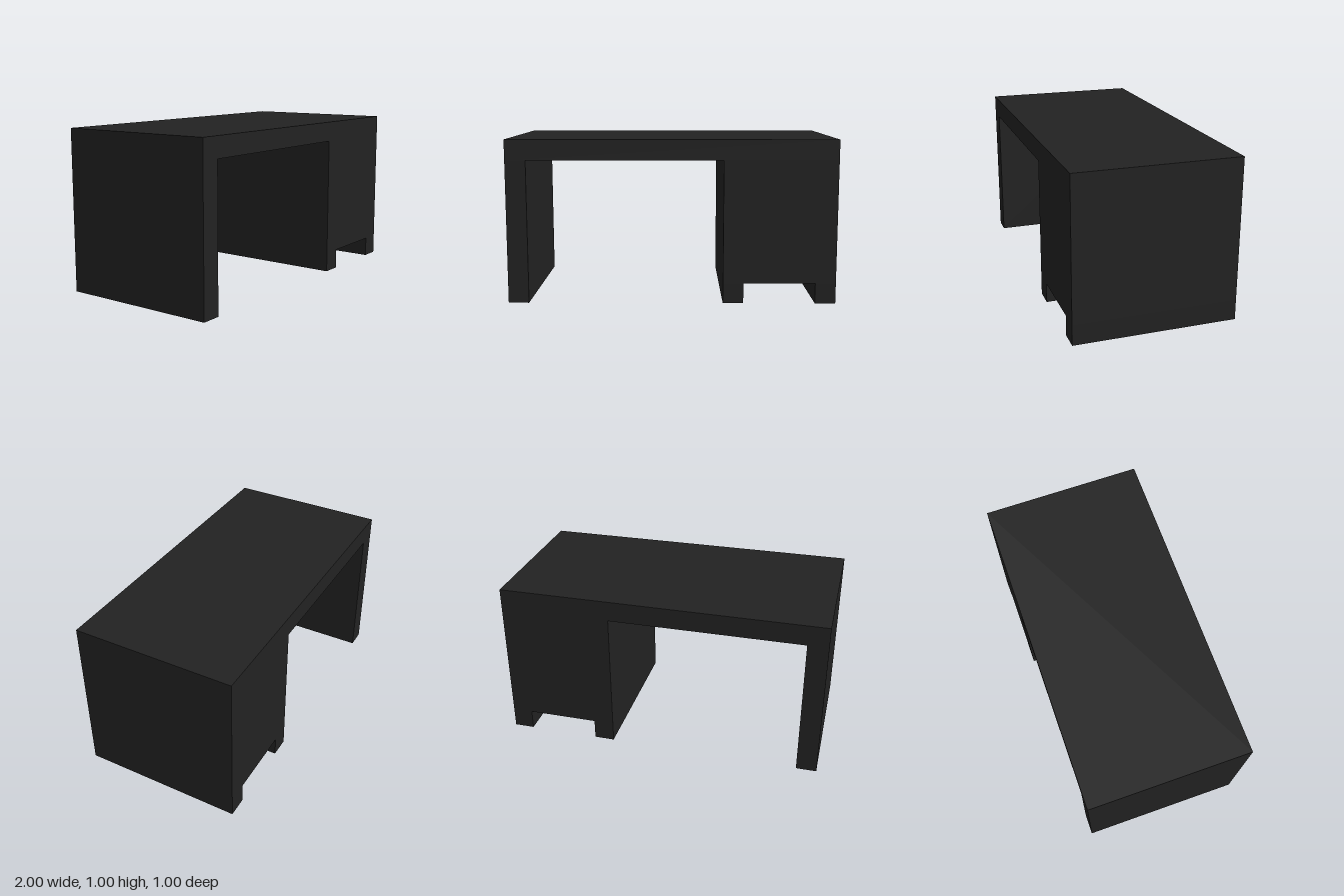
import * as THREE from 'three';

// Desk: slab top, panel leg on one side, drawer cabinet on two runners on the other.
export function createModel() {
  const group = new THREE.Group();
  group.name = 'desk';
  const charcoal = new THREE.MeshStandardMaterial({ color: 0x222222 });
  charcoal.name = 'charcoal';

  const T = 0.125;      // panel thickness
  const DEPTH = 1;
  const HEIGHT = 1;
  const INNER = 0.3125; // inner side of the cabinet

  // Full-depth block spanning x0..x1 and y0..y1
  function block(name, x0, x1, y0, y1) {
    const mesh = new THREE.Mesh(new THREE.BoxGeometry(x1 - x0, y1 - y0, DEPTH), charcoal);
    mesh.position.set((x0 + x1) / 2, (y0 + y1) / 2, 0);
    mesh.name = name;
    group.add(mesh);
  }

  block('deskTop', -1, 1, HEIGHT - T, HEIGHT);
  block('rightLegPanel', -1, -1 + T, 0, HEIGHT - T);
  block('cabinet', INNER, 1, T, HEIGHT - T);
  block('innerCabinetFoot', INNER, INNER + T, 0, T);
  block('outerCabinetFoot', 1 - T, 1, 0, T);

  return group;
}
